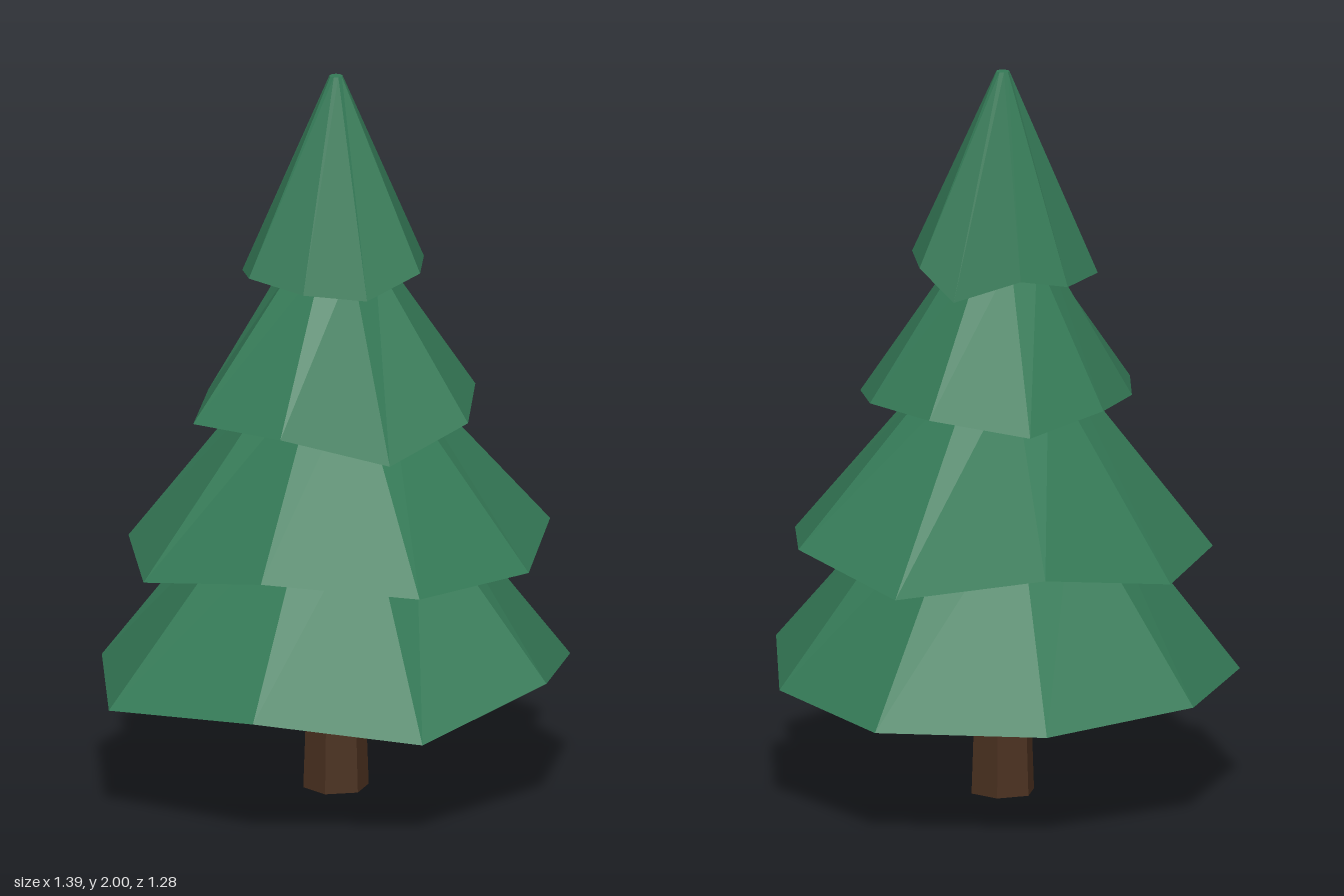
import * as THREE from 'three';

const AXIS_X = 0.003; // the trunk line sits slightly off centre
const AXIS_Z = 0.028;
const SIDES = 9;

// One tier of branches: an uneven nine-point hem [x, y, z] (from the back, round by +x)
// rising to a regular ring, closed below and above.
// Material group 0 is the slopes and top, group 1 the underside.
function tierGeometry(hem, topY, topRadius) {
  const base = hem.map((p) => new THREE.Vector3(...p));
  const ring = base.map((_, i) => {
    const a = (i / SIDES) * Math.PI * 2;
    return new THREE.Vector3(AXIS_X + topRadius * Math.sin(a), topY, AXIS_Z - topRadius * Math.cos(a));
  });
  const meanY = base.reduce((sum, p) => sum + p.y, 0) / SIDES;
  const under = new THREE.Vector3(AXIS_X, meanY, AXIS_Z);
  const tip = new THREE.Vector3(AXIS_X, topY, AXIS_Z);

  const outer = [];
  const below = [];
  for (let i = 0; i < SIDES; i++) {
    const j = (i + 1) % SIDES;
    outer.push(base[j], base[i], ring[i]); // slope
    outer.push(base[j], ring[i], ring[j]);
    outer.push(tip, ring[j], ring[i]); // top cap
    below.push(under, base[i], base[j]); // underside
  }
  const geometry = new THREE.BufferGeometry().setFromPoints([...outer, ...below]);
  geometry.addGroup(0, outer.length, 0);
  geometry.addGroup(outer.length, below.length, 1);
  geometry.computeVertexNormals();
  return geometry;
}

const TIERS = [
  {
    name: 'bottomBranches', topY: 0.85, topRadius: 0.245,
    hem: [
      [0.003, 0.335, -0.64], [0.442, 0.31, -0.49], [0.695, 0.31, -0.097],
      [0.563, 0.335, 0.347], [0.227, 0.38, 0.637], [-0.22, 0.295, 0.642],
      [-0.59, 0.365, 0.37], [-0.7, 0.32, -0.097], [-0.408, 0.34, -0.463],
    ],
  },
  {
    name: 'lowerMiddleBranches', topY: 1.2, topRadius: 0.16,
    hem: [
      [0.003, 0.665, -0.56], [0.412, 0.735, -0.46], [0.585, 0.655, -0.077],
      [0.513, 0.72, 0.322], [0.207, 0.685, 0.587], [-0.213, 0.7, 0.622],
      [-0.533, 0.74, 0.337], [-0.595, 0.665, -0.075], [-0.363, 0.68, -0.405],
    ],
  },
  {
    name: 'upperMiddleBranches', topY: 1.5, topRadius: 0.12,
    hem: [
      [0.003, 1.11, -0.325], [0.277, 1.08, -0.295], [0.388, 1.11, -0.033],
      [0.337, 1.11, 0.217], [0.142, 1.08, 0.412], [-0.133, 1.01, 0.407],
      [-0.39, 1.1, 0.252], [-0.435, 1.085, -0.055], [-0.22, 1.1, -0.24],
    ],
  },
  {
    name: 'topBranches', topY: 2, topRadius: 0.018,
    hem: [
      [0.003, 1.435, -0.2], [0.136, 1.465, -0.145], [0.212, 1.395, 0.027],
      [0.22, 1.475, 0.14], [0.092, 1.48, 0.272], [-0.08, 1.43, 0.252],
      [-0.185, 1.435, 0.11], [-0.245, 1.46, -0.045], [-0.16, 1.44, -0.17],
    ],
  },
];

export function createModel() {
  const needles = new THREE.MeshStandardMaterial({ color: 0x357a57, flatShading: true });
  needles.name = 'needleGreen';
  const shade = new THREE.MeshStandardMaterial({ color: 0x22452f, flatShading: true });
  shade.name = 'undersideGreen';
  const bark = new THREE.MeshStandardMaterial({ color: 0x4b3120, flatShading: true });
  bark.name = 'barkBrown';

  const tree = new THREE.Group();
  tree.name = 'pineTree';

  // Tapered six-sided trunk
  const trunk = new THREE.Mesh(new THREE.CylinderGeometry(0.074, 0.09, 0.45, 6), bark);
  trunk.name = 'trunk';
  trunk.position.set(AXIS_X, 0.225, AXIS_Z);
  tree.add(trunk);

  // Four overlapping tiers of branches
  for (const { name, hem, topY, topRadius } of TIERS) {
    const tier = new THREE.Mesh(tierGeometry(hem, topY, topRadius), [needles, shade]);
    tier.name = name;
    tree.add(tier);
  }
  return tree;
}
